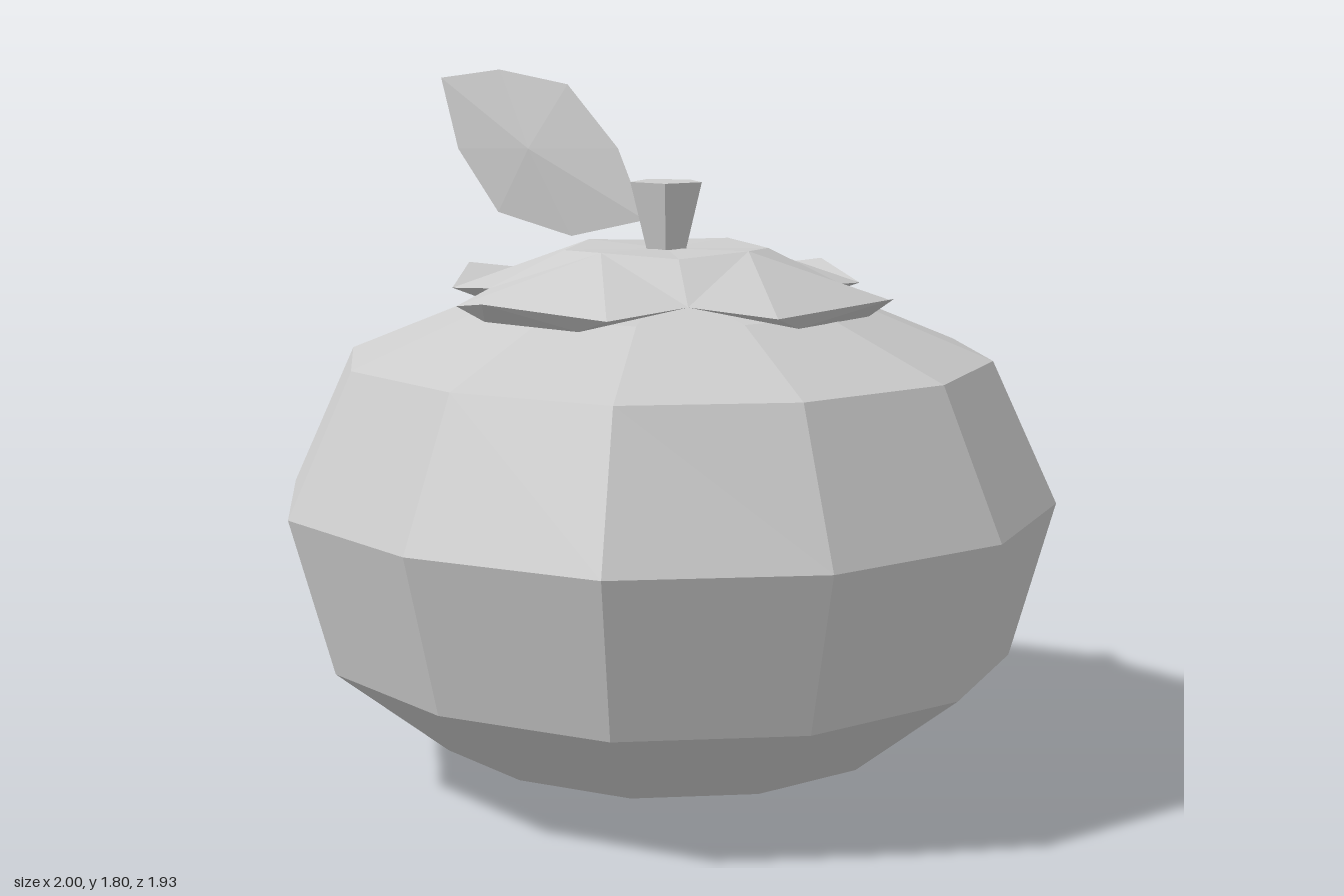
import * as THREE from 'three';

const grey = new THREE.MeshStandardMaterial({ color: 0xcccccc, flatShading: true });
grey.name = 'grey';

// Mesh from a list of triangles, each made of three [x, y, z] corners
function facets(name, triangles) {
  const geometry = new THREE.BufferGeometry();
  geometry.setAttribute('position', new THREE.Float32BufferAttribute(triangles.flat(2), 3));
  geometry.computeVertexNormals();
  return named(name, geometry);
}

function named(name, geometry) {
  const mesh = new THREE.Mesh(geometry, grey);
  mesh.name = name;
  return mesh;
}

// Twelve-sided fruit, slightly flattened at front and back
function makeFruit() {
  const profile = [[0, 0], [0.6, 0.1], [0.89, 0.33], [1, 0.73], [0.833, 1.09], [0.5, 1.225], [0, 1.27]];
  const geometry = new THREE.LatheGeometry(profile.map(([r, y]) => new THREE.Vector2(r, y)), 12);
  const position = geometry.attributes.position;
  for (let i = 0; i < position.count; i++) {
    const squash = Math.abs(position.getX(i)) < 1e-4 ? 0.964 : 0.99;
    position.setZ(i, position.getZ(i) * squash);
  }
  return named('fruit', geometry);
}

// One quarter of the calyx: a petal with an upturned tip and a folded underside
function makeSepal() {
  const mirror = ([x, y, z]) => [-x, y, z];
  const centre = [0, 1.362, 0], ridge = [0, 1.37, 0.26], tip = [0, 1.283, 0.69], under = [0, 1.24, 0.2];
  const shoulderL = [-0.185, 1.36, 0.185], notchL = [-0.32, 1.265, 0.32];
  const foldL = [-0.24, 1.245, 0.525], bottomL = [-0.15, 1.213, 0.52];
  const foldR = mirror(foldL), bottomR = mirror(bottomL);
  const leftHalf = [
    [centre, shoulderL, ridge], [ridge, shoulderL, notchL], [ridge, notchL, foldL],
    [tip, foldL, bottomL], [foldL, notchL, bottomL], [bottomL, notchL, under],
  ];
  const rightHalf = leftHalf.map(([a, b, c]) => [mirror(a), mirror(c), mirror(b)]);
  return facets('sepal', [
    ...leftHalf, ...rightHalf,
    [foldL, foldR, ridge], [foldL, tip, foldR],
    [tip, bottomL, bottomR], [bottomL, under, bottomR],
  ]);
}

// Thin leaf, bulging to a point on both faces
function makeLeaf() {
  const outline = [
    [-0.07, 1.43], [-0.16, 1.61], [-0.33, 1.77], [-0.57, 1.805],
    [-0.785, 1.78], [-0.725, 1.59], [-0.58, 1.425], [-0.32, 1.375],
  ].map(([x, y]) => [x, y, 0]);
  const triangles = [];
  outline.forEach((a, i) => {
    const b = outline[(i + 1) % outline.length];
    triangles.push([a, b, [-0.45, 1.6, 0.022]], [b, a, [-0.45, 1.6, -0.022]]);
  });
  return facets('leaf', triangles);
}

export function createModel() {
  const model = new THREE.Group();
  model.add(makeFruit());

  const calyx = new THREE.Group();
  calyx.name = 'calyx';
  for (let i = 0; i < 4; i++) {
    const sepal = makeSepal();
    sepal.rotation.y = i * Math.PI / 2;
    calyx.add(sepal);
  }
  model.add(calyx);

  // Five-sided stem flaring upwards
  const stem = named('stem', new THREE.CylinderGeometry(0.095, 0.053, 0.17, 5, 1, false, Math.PI));
  stem.position.y = 1.447;
  model.add(stem, makeLeaf());
  return model;
}
